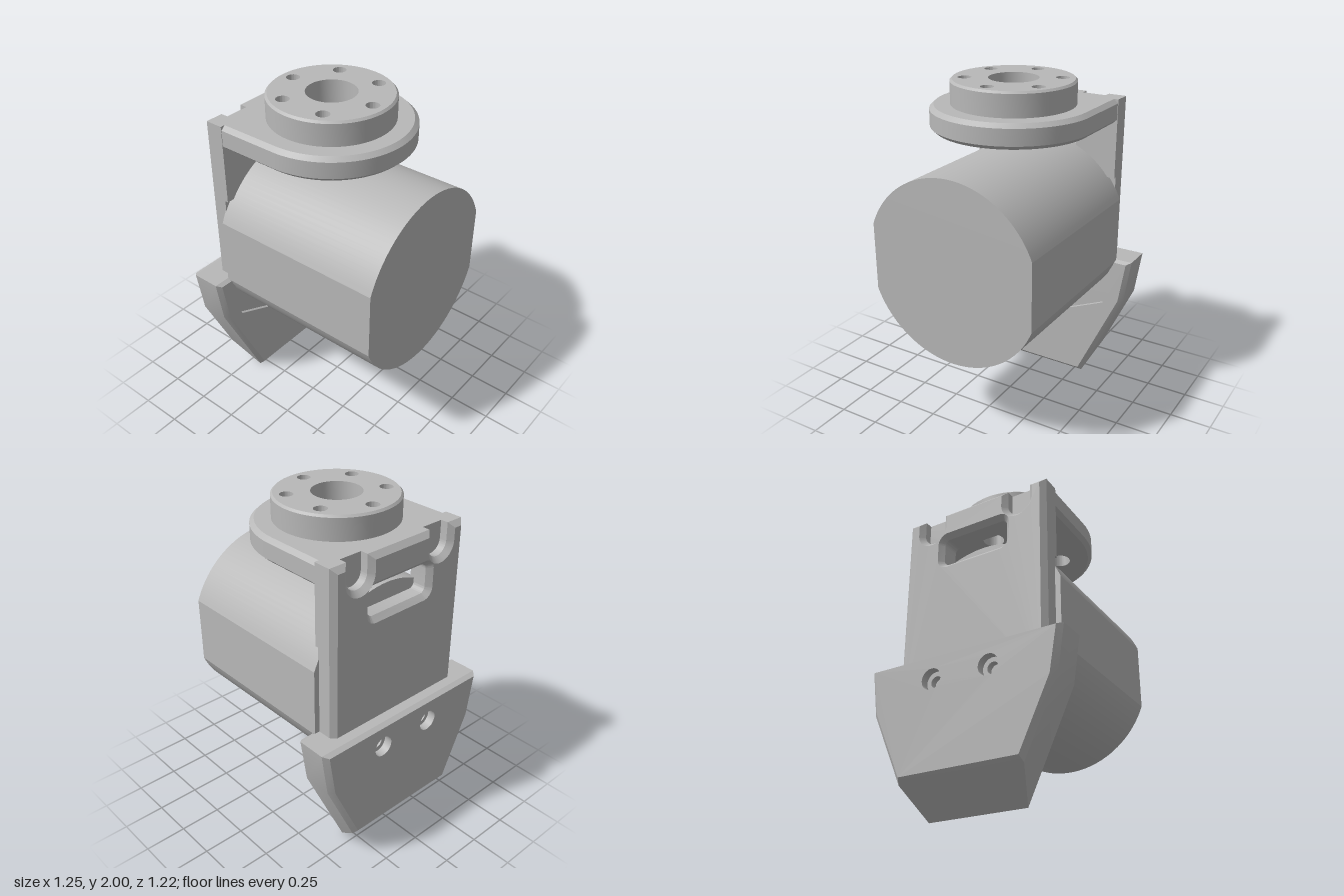
import * as THREE from 'three';
import { toCreasedNormals } from 'three/addons/utils/BufferGeometryUtils.js';

const grey = new THREE.MeshStandardMaterial({ color: 0xb8b8b8, side: THREE.DoubleSide });
grey.name = 'machined grey';

const CX = -0.038; // axis of the round output flange

function part(name, geo) {
  const mesh = new THREE.Mesh(toCreasedNormals(geo, 0.3), grey);
  mesh.name = name;
  return mesh;
}

// shape drawn in (z, y), extruded from x0 to x1; bevel shrinks both ends
function alongX(shape, x0, x1, bevel = 0) {
  const geo = new THREE.ExtrudeGeometry(shape, {
    depth: x1 - x0 - 2 * bevel, curveSegments: 20, bevelEnabled: bevel > 0,
    bevelSize: bevel, bevelThickness: bevel, bevelOffset: -bevel, bevelSegments: 1,
  });
  return geo.rotateY(Math.PI / 2).translate(x0 + bevel, 0, 0);
}

// shape drawn in (x, z), extruded from y0 to y1
function alongY(shape, y0, y1) {
  const geo = new THREE.ExtrudeGeometry(shape, { depth: y1 - y0, bevelEnabled: false, curveSegments: 32 });
  return geo.rotateX(-Math.PI / 2).translate(0, y0, 0);
}

// open skin through closed cross-sections of [x, y, z] points
function loft(sections) {
  const n = sections[0].length, index = [];
  for (let s = 0; s < sections.length - 1; s++) {
    for (let i = 0; i < n; i++) {
      const a = s * n + i, b = s * n + (i + 1) % n;
      index.push(a, b, b + n, a, b + n, a + n);
    }
  }
  const geo = new THREE.BufferGeometry();
  geo.setAttribute('position', new THREE.Float32BufferAttribute(sections.flat(2), 3));
  geo.setIndex(index);
  geo.computeVertexNormals();
  return geo;
}

const polygon = (pts) => new THREE.Shape(pts.map(([x, y]) => new THREE.Vector2(x, y)));
const mirrored = (half) => [...half, ...half.map(([z, y]) => [-z, y]).reverse()];

function circle(x, y, r) {
  const path = new THREE.Path();
  path.absarc(x, y, r, 0, Math.PI * 2, true);
  return path;
}

// centre bore and ring of six bolt holes
function addBores(shape, boltRadius) {
  shape.holes.push(circle(CX, 0, 0.142));
  for (let i = 0; i < 6; i++) {
    const a = i * Math.PI / 3;
    shape.holes.push(circle(CX + 0.272 * Math.cos(a), 0.272 * Math.sin(a), boltRadius));
  }
  return shape;
}

// rounded cable slot through the upright plate
function slot() {
  const w = 0.215, y0 = 1.5, y1 = 1.675, r = 0.035;
  const p = new THREE.Path();
  p.moveTo(-w + r, y0);
  p.lineTo(w - r, y0);
  p.absarc(w - r, y0 + r, r, -Math.PI / 2, 0, false);
  p.absarc(w - r, y1 - r, r, 0, Math.PI / 2, false);
  p.absarc(-w + r, y1 - r, r, Math.PI / 2, Math.PI, false);
  p.absarc(-w + r, y0 + r, r, Math.PI, Math.PI * 1.5, false);
  return p;
}

function motor() {
  // cylinder with a flat on each side
  const r = 0.545, cy = 1.055, a = Math.acos(0.507 / r);
  const s = new THREE.Shape();
  s.absarc(0, cy, r, a, Math.PI - a, false);
  s.absarc(0, cy, r, Math.PI + a, 2 * Math.PI - a, false);
  s.closePath();
  return part('motorBody', alongX(s, -0.425, 0.625));
}

function uprightPlate() {
  const g = new THREE.Group();
  g.name = 'uprightPlate';
  const w = 0.475, top = 1.86;

  // back layer with two screw-head notches in its top edge
  const back = new THREE.Shape();
  back.moveTo(-w, 0.6);
  back.lineTo(w, 0.6);
  back.lineTo(w, top);
  for (const z of [0.295, -0.295]) {
    back.lineTo(z + 0.072, top);
    back.absarc(z, 1.76, 0.072, 0, -Math.PI, true);
    back.lineTo(z - 0.072, top);
  }
  back.lineTo(-w, top);
  back.closePath();
  back.holes.push(slot());
  g.add(part('plateBack', alongX(back, -0.535, -0.43, 0.03)));

  // thicker front layer above, thinner mounting face below
  const upper = polygon(mirrored([[w, 1.39], [w, top]]));
  upper.holes.push(slot());
  g.add(part('plateFront', alongX(upper, -0.46, -0.4)));
  const lower = polygon(mirrored([[0.22, 0.46], [0.44, 0.555], [w, 0.62], [w, 1.39]]));
  g.add(part('motorMount', alongX(lower, -0.46, -0.42)));
  return g;
}

function topFlange() {
  const g = new THREE.Group();
  g.name = 'topFlange';

  // D-shaped flange: drilled core plus chamfered rim
  const outline = (r) => {
    const pts = [[-0.4, -r]];
    for (let i = 0; i <= 40; i++) {
      const a = -Math.PI / 2 + Math.PI * i / 40;
      pts.push([CX + r * Math.cos(a), r * Math.sin(a)]);
    }
    pts.push([-0.4, r]);
    return pts;
  };
  const core = addBores(polygon(outline(0.447)), 0.062);
  g.add(part('flangeCore', alongY(core, 1.72, 1.86)));
  const rim = [[0.447, 1.86], [0.472, 1.837], [0.472, 1.743], [0.447, 1.72]];
  g.add(part('flangeRim', loft(rim.map(([r, y]) => outline(r).map(([x, z]) => [x, y, z])))));

  // raised round boss with a small edge chamfer
  const boss = new THREE.Shape();
  boss.absarc(CX, 0, 0.343, 0, Math.PI * 2, false);
  g.add(part('boss', alongY(addBores(boss, 0.038), 1.82, 2)));
  const edge = [[0.355, 1.84], [0.355, 1.988], [0.343, 2]].map(([r, y]) => new THREE.Vector2(r, y));
  g.add(part('bossEdge', new THREE.LatheGeometry(edge, 64).translate(CX, 0, 0)));
  return g;
}

function footGuard() {
  const g = new THREE.Group();
  g.name = 'footGuard';

  // tapering outline in (z, y), shrunk by inset and cut off at the bottom
  const half = (inset, bottom, top) => [
    [0.3 + 0.27 * bottom / 0.59 - inset, bottom], [0.57 - inset, 0.59], [0.61 - inset, top],
  ];
  const sections = [
    [-0.625, 0.03, 0.205, 0.848], [-0.595, 0, 0.17, 0.862],
    [-0.425, 0, 0, 0.862], [-0.4, 0.028, 0.025, 0.848],
  ];
  g.add(part('guardShell', loft(sections.map(([x, ...o]) => mirrored(half(...o)).map(([z, y]) => [x, y, z])))));

  // front face with a pocket around the plate
  const pocket = [[0.475, 0.848], [0.475, 0.62], [0.44, 0.555], [0.22, 0.46]];
  const front = polygon(mirrored(half(0.028, 0.025, 0.848).concat(pocket)));
  g.add(part('guardFront', alongX(front, -0.425, -0.4)));

  // back face with two counterbored screw holes
  const back = polygon(mirrored(half(0.03, 0.205, 0.848)));
  const bore = [[0.062, 0], [0.062, 0.05], [0.035, 0.05], [0.035, 0.09], [0, 0.09]];
  for (const z of [-0.18, 0.18]) {
    back.holes.push(circle(z, 0.72, 0.062));
    const hole = new THREE.LatheGeometry(bore.map(([r, d]) => new THREE.Vector2(r, d)), 28);
    g.add(part('screwHole', hole.rotateZ(-Math.PI / 2).translate(-0.625, 0.72, z)));
  }
  const face = new THREE.ShapeGeometry(back, 14).rotateY(-Math.PI / 2).translate(-0.625, 0, 0);
  g.add(part('guardBack', face));
  return g;
}

export function createModel() {
  const model = new THREE.Group();
  model.name = 'motorBracket';
  model.add(motor(), uprightPlate(), topFlange(), footGuard());
  return model;
}
